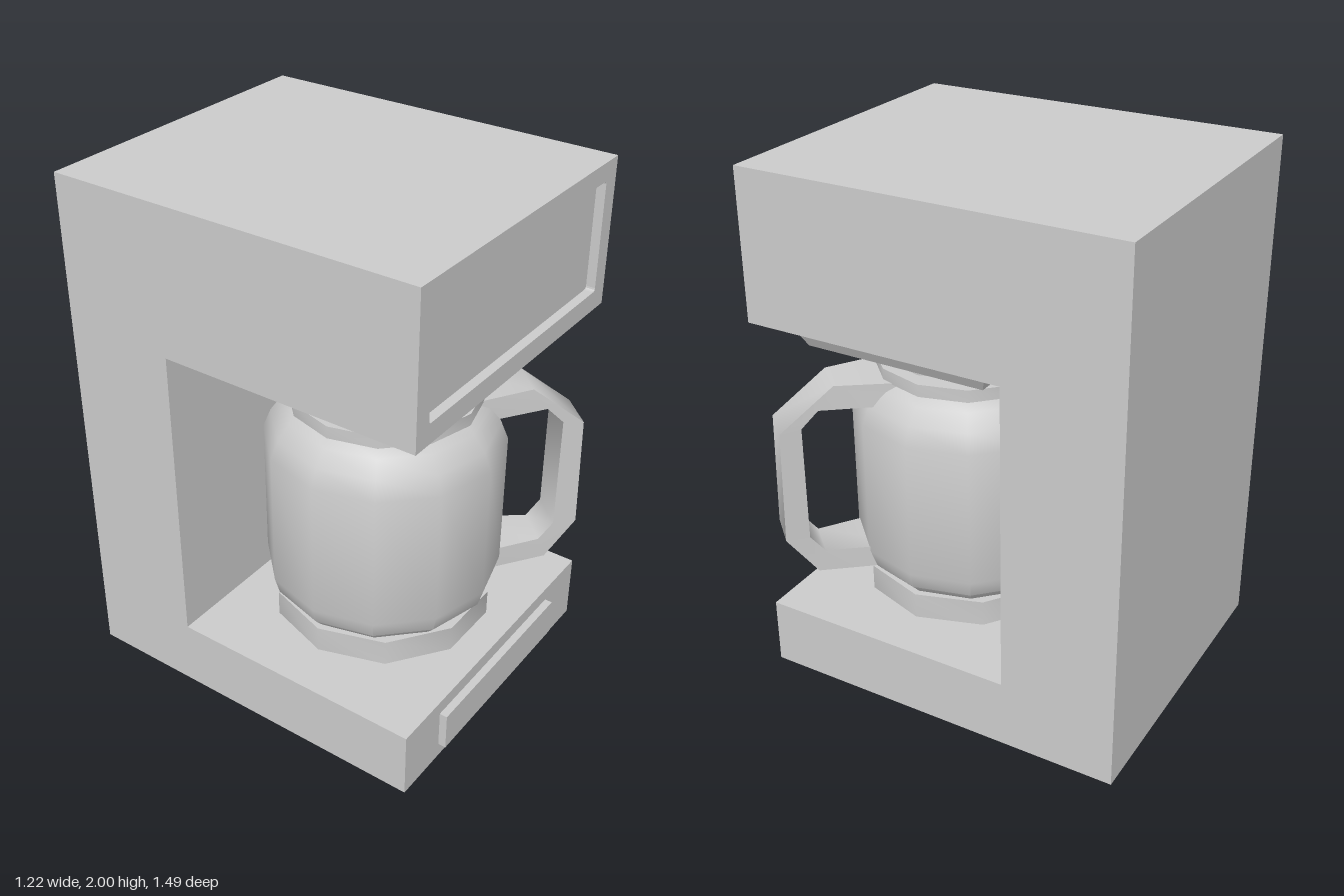
import * as THREE from 'three';
import { toCreasedNormals } from 'three/addons/utils/BufferGeometryUtils.js';

export function createModel() {
  const model = new THREE.Group();
  const material = new THREE.MeshStandardMaterial({ color: 0xcccccc });

  function add(name, geometry, parent = model) {
    const mesh = new THREE.Mesh(geometry, material);
    mesh.name = name;
    parent.add(mesh);
    return mesh;
  }

  // Faceted solid of revolution from [radius, height] pairs
  function turned(points, sides, phase = 0) {
    const profile = points.map(([r, y]) => new THREE.Vector2(r, y));
    return toCreasedNormals(new THREE.LatheGeometry(profile, sides, phase), 0.65);
  }

  // Quad strips through four-cornered sections, with closed ends
  function loft(sections) {
    const index = [];
    for (let i = 0; i < sections.length - 1; i++) {
      for (let k = 0; k < 4; k++) {
        const a = i * 4 + k, b = i * 4 + (k + 1) % 4;
        index.push(a, a + 4, b, b, a + 4, b + 4);
      }
    }
    const e = (sections.length - 1) * 4;
    index.push(0, 1, 2, 0, 2, 3, e, e + 2, e + 1, e, e + 3, e + 2);
    const geo = new THREE.BufferGeometry();
    geo.setAttribute('position', new THREE.Float32BufferAttribute(sections.flat(2), 3));
    geo.setIndex(index);
    return geo;
  }

  // C-shaped housing: base, rear column and overhanging head
  const side = new THREE.Shape([
    [-0.74, 0], [0.70, 0], [0.70, 0.263], [-0.30, 0.263],
    [-0.30, 1.44], [0.665, 1.44], [0.665, 2], [-0.74, 2],
  ].map(([z, y]) => new THREE.Vector2(-z, y)));
  const housing = new THREE.ExtrudeGeometry(side, { depth: 1.22, bevelEnabled: false });
  housing.translate(0, 0, -0.61).rotateY(Math.PI / 2);
  add('housing', housing);

  // Frame around the recessed front panel
  const frame = new THREE.Shape([
    [-0.61, 1.44], [0.61, 1.44], [0.61, 2], [-0.61, 2],
  ].map(([x, y]) => new THREE.Vector2(x, y)));
  const hole = new THREE.Path();
  const w = 0.54, lo = 1.515, hi = 1.93, c = 0.012;
  hole.moveTo(-w + c, lo);
  hole.lineTo(w - c, lo).quadraticCurveTo(w, lo, w, lo + c);
  hole.lineTo(w, hi - c).quadraticCurveTo(w, hi, w - c, hi);
  hole.lineTo(-w + c, hi).quadraticCurveTo(-w, hi, -w, hi - c);
  hole.lineTo(-w, lo + c).quadraticCurveTo(-w, lo, -w + c, lo);
  frame.holes.push(hole);
  const frameGeo = new THREE.ExtrudeGeometry(frame, { depth: 0.035, bevelEnabled: false, curveSegments: 3 });
  add('frontPanelFrame', frameGeo.translate(0, 0, 0.665));

  // Raised control strip on the base
  add('controlStrip', new THREE.BoxGeometry(0.78, 0.15, 0.05).translate(0, 0.133, 0.705));

  // Tapered filter holder under the head
  const rect = (x, y, z0, z1) => [[x, y, z1], [x, y, z0], [-x, y, z0], [-x, y, z1]];
  const holder = loft([rect(0.53, 1.44, -0.20, 0.60), rect(0.47, 1.33, -0.155, 0.555)]);
  add('filterHolder', holder.toNonIndexed()).geometry.computeVertexNormals();

  // Round parts share one vertical axis
  const brewing = new THREE.Group();
  brewing.name = 'brewingParts';
  brewing.position.z = 0.18;
  model.add(brewing);

  const tenSided = Math.PI / 10;
  add('brewRing', turned([[0, 1.255], [0.355, 1.255], [0.355, 1.335], [0, 1.335]], 10, tenSided), brewing);
  add('spout', turned([[0, 1.215], [0.265, 1.215], [0.31, 1.256], [0, 1.256]], 10, tenSided), brewing);
  add('hotPlate', turned([[0, 0.26], [0.42, 0.26], [0.42, 0.365], [0, 0.365]], 10, tenSided), brewing);

  // Carafe with rounded shoulder
  add('carafe', turned([
    [0, 0.362], [0.39, 0.362], [0.43, 0.405], [0.448, 0.47], [0.448, 1.01],
    [0.42, 1.08], [0.375, 1.14], [0.32, 1.178], [0, 1.178],
  ], 12), brewing);
  add('carafeLid', turned([[0, 1.17], [0.356, 1.17], [0.356, 1.218], [0, 1.218]], 12), brewing);

  // Handle: outer and inner [radius, height] plus half width, from top to bottom
  const handle = loft([
    [0.28, 1.175, 0.28, 1.085, 0.13],
    [0.53, 1.175, 0.59, 1.085, 0.08],
    [0.735, 1.01, 0.655, 1.02, 0.08],
    [0.745, 0.56, 0.655, 0.56, 0.08],
    [0.63, 0.405, 0.60, 0.49, 0.08],
    [0.28, 0.405, 0.28, 0.49, 0.13],
  ].map(([ro, yo, ri, yi, h]) => [[ro, yo, h], [ro, yo, -h], [ri, yi, -h], [ri, yi, h]]));
  add('carafeHandle', toCreasedNormals(handle, 0.95), brewing).rotation.y = -0.75;

  return model;
}
